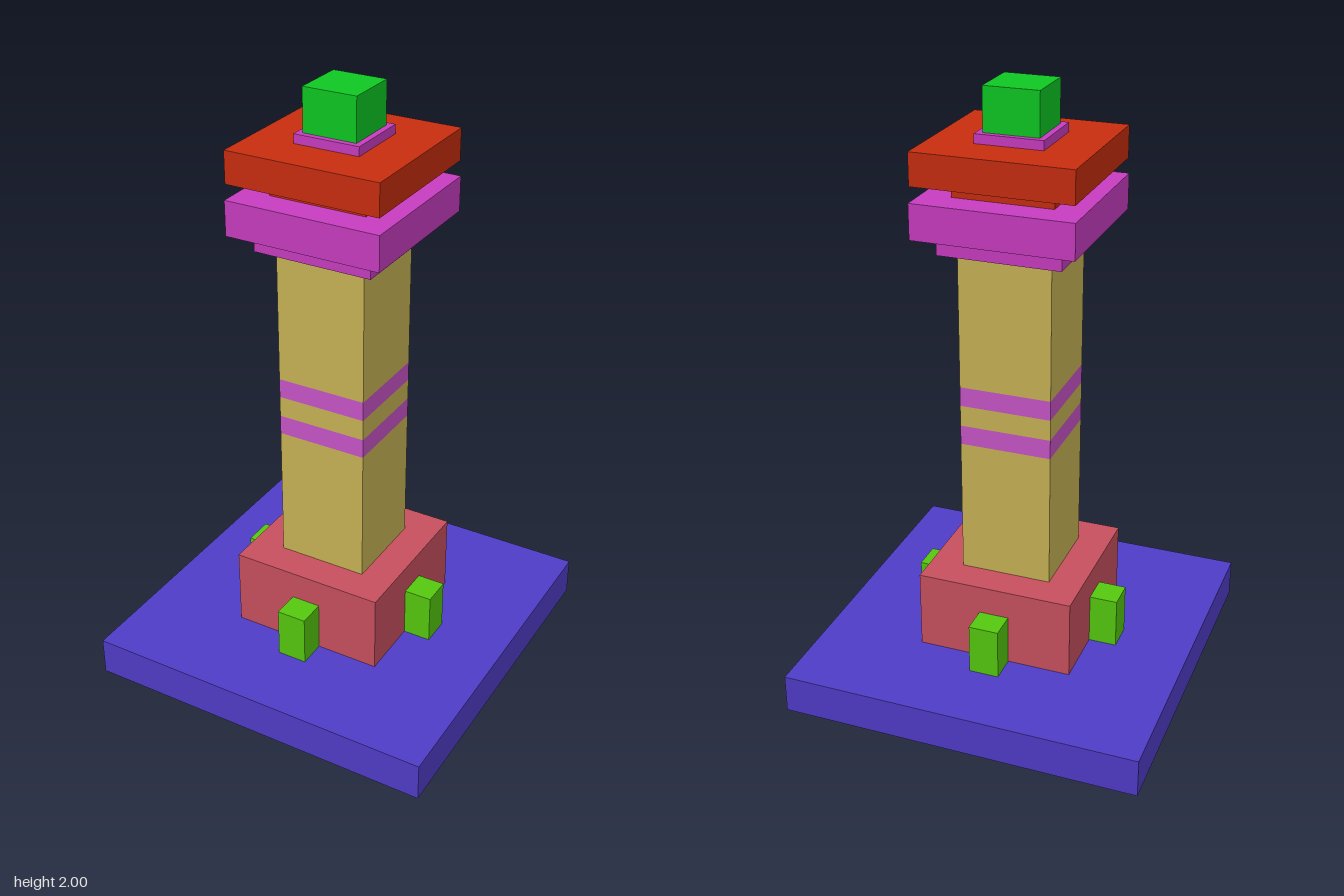
import * as THREE from 'three';

const material = (color) => new THREE.MeshStandardMaterial({ color });
const blue = material(0x503cc8);
const rose = material(0xc8505e);
const sand = material(0xc8b455);
const violet = material(0xc855c8);
const magenta = material(0xc83cc0);
const red = material(0xc82d0f);
const green = material(0x0fc823);
const lime = material(0x55c80f);

// Square block of half-width h between two heights
function block(name, h, y0, y1, mat) {
  const mesh = new THREE.Mesh(new THREE.BoxGeometry(2 * h, y1 - y0, 2 * h), mat);
  mesh.name = name;
  mesh.position.y = (y0 + y1) / 2;
  return mesh;
}

export function createModel() {
  const tower = new THREE.Group();
  tower.name = 'tower';

  // Ground slab and plinth
  tower.add(block('groundSlab', 0.6, 0, 0.13, blue));
  tower.add(block('plinth', 0.262, 0.13, 0.395, rose));

  // Shaft in flush stacked sections, with two coloured bands
  const levels = [0.395, 0.85, 0.915, 0.985, 1.05, 1.5];
  for (let i = 0; i < levels.length - 1; i++) {
    const isBand = i % 2 === 1;
    tower.add(block(isBand ? 'shaftBand' : 'shaft', 0.152, levels[i], levels[i + 1], isBand ? violet : sand));
  }

  // Stepped gallery with red undersides
  const soffit = [magenta, magenta, magenta, red, magenta, magenta];
  tower.add(block('galleryBracket', 0.2, 1.5, 1.56, soffit));
  tower.add(block('galleryDeck', 0.26, 1.56, 1.675, soffit));

  // Roof and lantern
  tower.add(block('roofNeck', 0.163, 1.675, 1.725, red));
  tower.add(block('roofSlab', 0.257, 1.725, 1.83, red));
  tower.add(block('lanternBase', 0.11, 1.83, 1.86, magenta));
  tower.add(block('lantern', 0.09, 1.86, 2, green));

  // One porch on each side of the plinth
  for (let i = 0; i < 4; i++) {
    const side = new THREE.Group();
    side.name = 'porchSide';
    side.rotation.y = (i * Math.PI) / 2;
    const porch = new THREE.Mesh(new THREE.BoxGeometry(0.1, 0.17, 0.105), lime);
    porch.name = 'porch';
    porch.position.set(0, 0.215, 0.3025);
    side.add(porch);
    tower.add(side);
  }
  return tower;
}
